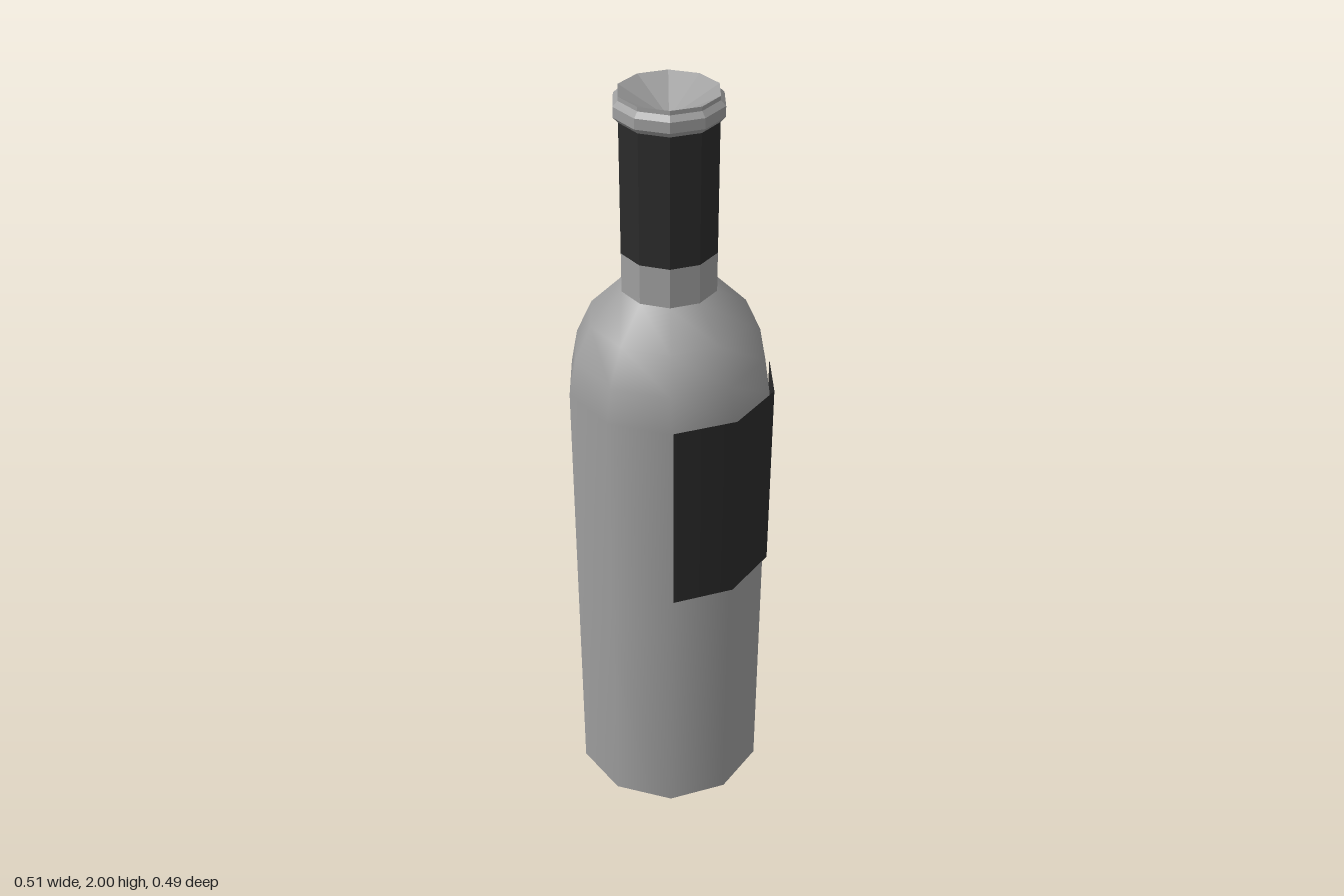
import * as THREE from 'three';

const SIDES = 10;
const GREY = 0x9e9e9e;
const DARK = 0x2b2b2b;
const FOOT_RADIUS = 0.238;
const FOOT_DEPTH = 0.82; // the foot is narrower from front to back

const material = (color, options = {}) =>
  new THREE.MeshStandardMaterial({ color, ...options });

function addMesh(parent, name, geometry, mat) {
  const mesh = new THREE.Mesh(geometry, mat);
  mesh.name = name;
  parent.add(mesh);
  return mesh;
}

// Ten-sided turned part with corners on the x axis; profile is [radius, height] pairs
function turned(profile) {
  const points = profile.map(([r, y]) => new THREE.Vector2(r, y));
  return new THREE.LatheGeometry(points, SIDES, Math.PI / 2);
}

// Upright sheet that follows a path of [x, z] points, listed left to right seen from outside
function sheet(path, bottom, top) {
  const geometry = new THREE.PlaneGeometry(1, 1, path.length - 1, 1);
  const pos = geometry.attributes.position;
  for (let i = 0; i < pos.count; i++) {
    const [x, z] = path[i % path.length];
    pos.setXYZ(i, x, i < path.length ? top : bottom, z);
  }
  geometry.computeVertexNormals();
  return geometry;
}

export function createModel() {
  const model = new THREE.Group();
  model.name = 'bottle';

  const glass = new THREE.Group();
  glass.name = 'glass';
  glass.position.set(-0.003, 0, -0.004);
  model.add(glass);

  // Smooth body with a bevelled foot and a rounded shoulder
  const body = turned([
    [FOOT_RADIUS, 0], [0.255, 0.02], [0.255, 0.64], [0.255, 1.26],
    [0.238, 1.35], [0.197, 1.44], [0.118, 1.52],
  ]);
  const pos = body.attributes.position;
  for (let i = 0; i < pos.count; i++) {
    if (pos.getY(i) === 0) pos.setZ(i, pos.getZ(i) * FOOT_DEPTH);
  }
  addMesh(glass, 'body', body, material(GREY));

  // Flat underside
  const base = new THREE.CircleGeometry(FOOT_RADIUS, SIDES);
  base.rotateX(Math.PI / 2).scale(1, 1, FOOT_DEPTH);
  addMesh(glass, 'base', base, material(GREY));

  // Faceted neck, with its dark foil band
  const faceted = material(GREY, { flatShading: true });
  addMesh(glass, 'neck', turned([[0.118, 1.52], [0.118, 1.62]]), faceted);
  addMesh(glass, 'neckBand', turned([[0.118, 1.62], [0.118, 1.94]]),
    material(DARK, { flatShading: true }));

  // Lip ring and the hollow cone closing the mouth
  addMesh(glass, 'lip', turned([
    [0.118, 1.94], [0.13, 1.953], [0.13, 1.978], [0.118, 1.99], [0.118, 2], [0, 1.935],
  ]), faceted);

  // Label wrapped over three sides, with a small tail below it
  const paper = material(DARK, { side: THREE.DoubleSide });
  addMesh(model, 'label', sheet(
    [[-0.078, 0.247], [0.081, 0.247], [0.213, 0.152], [0.256, 0.013]], 0.75, 1.267), paper);
  addMesh(model, 'labelTail', sheet([[0.227, 0.098], [0.227, 0.082]], 0.7, 0.752), paper);

  return model;
}
